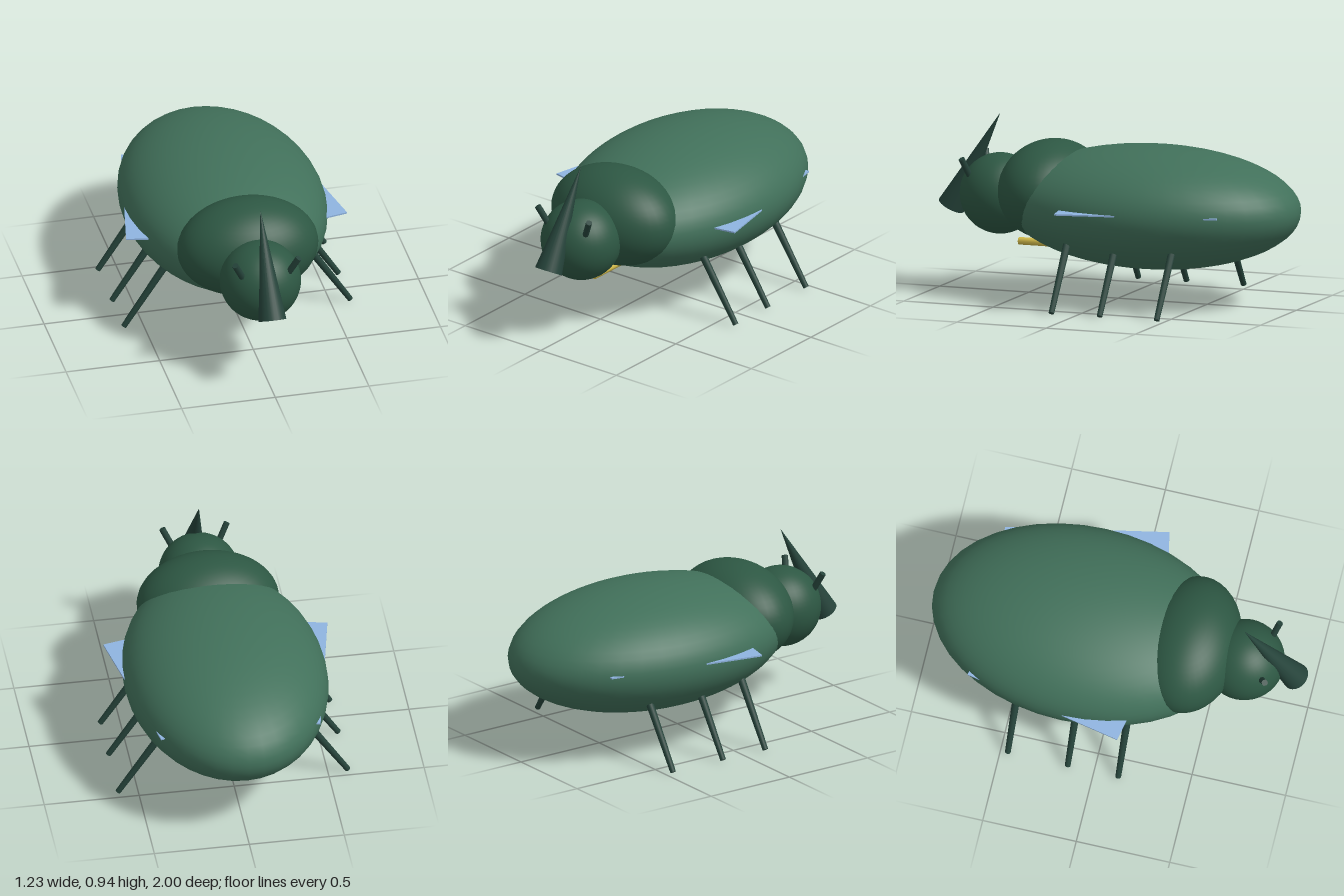
import * as THREE from 'three';

const material = (color) => new THREE.MeshStandardMaterial({ color });
const shell = material(0x41705a);
const dark = material(0x2d5743);
const limb = material(0x25433a);
const blue = material(0x8fb4e0);
const yellow = material(0xd4bc4a);

function add(parent, name, geometry, mat) {
  const mesh = new THREE.Mesh(geometry, mat);
  mesh.name = name;
  parent.add(mesh);
  return mesh;
}

function ellipsoid(parent, name, center, radii, mat) {
  const geometry = new THREE.SphereGeometry(1, 40, 28).scale(...radii);
  add(parent, name, geometry, mat).position.set(...center);
}

// Tapered rod between two points
function rod(parent, name, from, to, rFrom, rTo, sides, mat) {
  const a = new THREE.Vector3(...from);
  const b = new THREE.Vector3(...to);
  const dir = b.clone().sub(a);
  const mesh = add(parent, name, new THREE.CylinderGeometry(rTo, rFrom, dir.length(), sides), mat);
  mesh.position.copy(a).add(b).multiplyScalar(0.5);
  mesh.quaternion.setFromUnitVectors(new THREE.Vector3(0, 1, 0), dir.normalize());
}

export function createModel() {
  const beetle = new THREE.Group();
  beetle.name = 'beetle';

  // Body
  ellipsoid(beetle, 'abdomen', [0, 0.5, -0.2], [0.53, 0.32, 0.8], shell);
  ellipsoid(beetle, 'thorax', [0, 0.557, 0.37], [0.373, 0.26, 0.266], dark);
  ellipsoid(beetle, 'head', [0, 0.516, 0.66], [0.212, 0.212, 0.212], dark);

  // Horn leaning back over the head
  rod(beetle, 'horn', [0, 0.432, 0.935], [0, 0.94, 0.66], 0.073, 0, 24, limb);

  for (const [side, s] of [['left', 1], ['right', -1]]) {
    rod(beetle, side + 'Antenna', [s * 0.115, 0.6, 0.776], [s * 0.17, 0.712, 0.81], 0.017, 0.017, 8, limb);

    // Legs
    [['Front', 0.13], ['Middle', -0.14], ['Rear', -0.46]].forEach(([place, z]) =>
      rod(beetle, side + place + 'Leg', [s * 0.37, 0.368, z], [s * 0.605, 0.01, z], 0.021, 0.015, 10, limb));

    // Flat wing, mostly tucked inside the abdomen
    const wing = add(beetle, side + 'Wing', new THREE.BoxGeometry(0.32, 0.008, 0.857), blue);
    wing.position.set(s * 0.348, 0.527, -0.268);
    wing.rotation.y = s * 0.2;
  }

  // Rod under the body
  rod(beetle, 'underRod', [0, 0.27, 0.2], [0, 0.27, 0.555], 0.02, 0.02, 8, yellow);

  return beetle;
}
